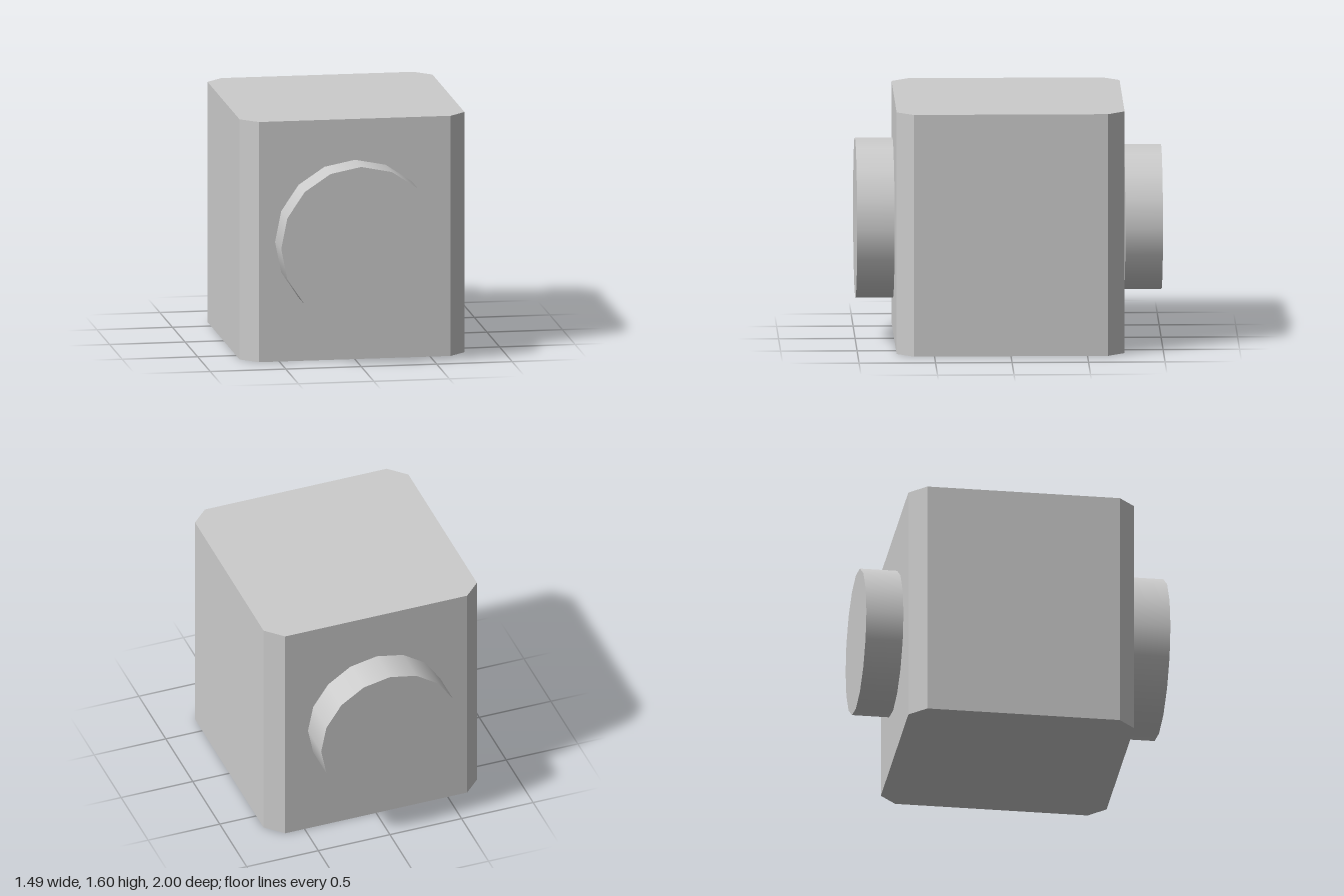
import * as THREE from 'three';

export function createModel() {
  const model = new THREE.Group();
  model.name = 'blockWithDiscs';

  const grey = new THREE.MeshStandardMaterial({ color: 0xcccccc });
  grey.name = 'lightGrey';

  const add = (name, geometry) => {
    const mesh = new THREE.Mesh(geometry, grey);
    mesh.name = name;
    model.add(mesh);
    return mesh;
  };

  // Upright block with chamfered vertical corners
  const half = 0.745, inner = 0.635, height = 1.6;
  const outline = new THREE.Shape([
    [inner, -half], [half, -inner], [half, inner], [inner, half],
    [-inner, half], [-half, inner], [-half, -inner], [-inner, -half],
  ].map(([x, y]) => new THREE.Vector2(x, y)));
  const body = new THREE.ExtrudeGeometry(outline, { depth: height, bevelEnabled: false });
  body.rotateX(-Math.PI / 2);
  add('body', body);

  // Sixteen-sided smooth discs, just clear of the front and back faces
  const nearZ = 0.755, farZ = 1;
  const addDisc = (name, radius, side) => {
    const disc = new THREE.CylinderGeometry(radius, radius, farZ - nearZ, 16);
    disc.rotateX(side * Math.PI / 2);
    add(name, disc).position.set(0, height / 2, side * (nearZ + farZ) / 2);
  };
  addDisc('frontDisc', 0.53, 1);
  addDisc('backDisc', 0.48, -1);

  return model;
}
